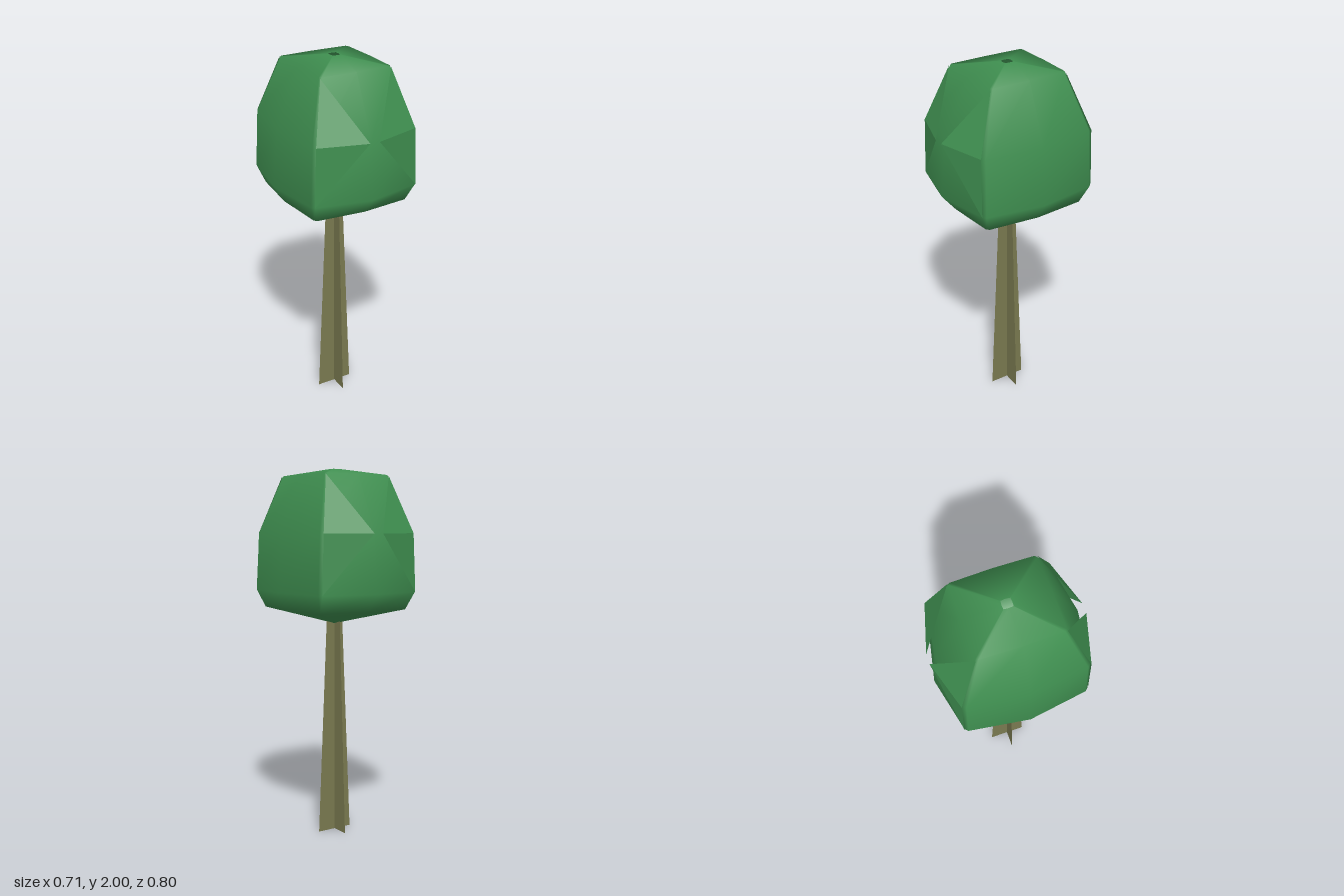
import * as THREE from 'three';

const leafMat = new THREE.MeshStandardMaterial({ color: 0x3f8f50, side: THREE.DoubleSide });
const leafFlat = leafMat.clone();
leafFlat.flatShading = true;
const barkMat = new THREE.MeshStandardMaterial({ color: 0x7a7a50, side: THREE.DoubleSide });

function makeGeometry(positions, index) {
  const g = new THREE.BufferGeometry();
  g.setAttribute('position', new THREE.Float32BufferAttribute(positions, 3));
  if (index) g.setIndex(index);
  g.computeVertexNormals();
  return g;
}

// Rings from top to bottom: y, side middle x, front middle z, corner x, corner z
const RINGS = [
  [2.0, 0.024, 0.026, 0.022, 0.024],
  [1.965, 0.205, 0.22, 0.2, 0.215],
  [1.66, 0.333, 0.365, 0.295, 0.322],
  [1.35, 0.357, 0.393, 0.31, 0.33],
  [1.255, 0.3, 0.315, 0.275, 0.29],
  [1.17, 0, 0, 0, 0],
];

// Rounded-square outline: four side middles and a small chamfer at each corner
function outline([y, mx, mz, cx, cz]) {
  const kx = cx * 0.95, kz = cz * 0.95;
  return [
    [0, mz], [kx, cz], [cx, kz], [mx, 0], [cx, -kz], [kx, -cz],
    [0, -mz], [-kx, -cz], [-cx, -kz], [-mx, 0], [-cx, kz], [-kx, cz],
  ].map(([x, z]) => [x, y, z]);
}

// Hollow crown with a tiny opening at the very top
function crownGeometry() {
  const n = 12, index = [];
  const positions = RINGS.flatMap(r => outline(r).flat());
  for (let i = 0; i < RINGS.length - 1; i++) {
    for (let j = 0; j < n; j++) {
      const a = i * n + j, b = i * n + (j + 1) % n, c = a + n, d = b + n;
      index.push(a, c, b);
      if (i < RINGS.length - 2) index.push(b, c, d);
    }
  }
  return makeGeometry(positions, index);
}

// Pointed leaf flap folding from a corner towards the middle of the front or back
function flapGeometry(sx, sz) {
  const at = (x, y, z) => [x * sx, y, z * sz];
  const top = at(0.2, 1.96, 0.217), tip = at(0.027, 1.66, 0.4);
  const corner = at(0.285, 1.66, 0.326), low = at(0.297, 1.35, 0.331);
  const tris = [[top, tip, corner], [corner, tip, low]];
  if (sx * sz < 0) tris.forEach(t => t.reverse());
  return makeGeometry(tris.flat(2));
}

export function createModel() {
  const tree = new THREE.Group();
  tree.name = 'tree';

  // Crown
  const crown = new THREE.Group();
  crown.name = 'crown';
  const body = new THREE.Mesh(crownGeometry(), leafMat);
  body.name = 'foliage';
  crown.add(body);
  for (const sx of [1, -1]) for (const sz of [1, -1]) {
    const flap = new THREE.Mesh(flapGeometry(sx, sz), leafFlat);
    flap.name = (sz > 0 ? 'front' : 'back') + (sx > 0 ? 'Left' : 'Right') + 'Flap';
    crown.add(flap);
  }
  tree.add(crown);

  // Trunk: two crossed tapering planes
  const trunk = new THREE.Group();
  trunk.name = 'trunk';
  const blade = makeGeometry(
    [-0.104, 0, 0, 0.104, 0, 0, 0.05, 1.22, 0, -0.05, 1.22, 0], [0, 1, 2, 0, 2, 3]);
  for (let i = 0; i < 2; i++) {
    const plane = new THREE.Mesh(blade, barkMat);
    plane.name = 'trunkPlane' + (i + 1);
    plane.rotation.y = i * Math.PI / 2;
    trunk.add(plane);
  }
  tree.add(trunk);
  return tree;
}
